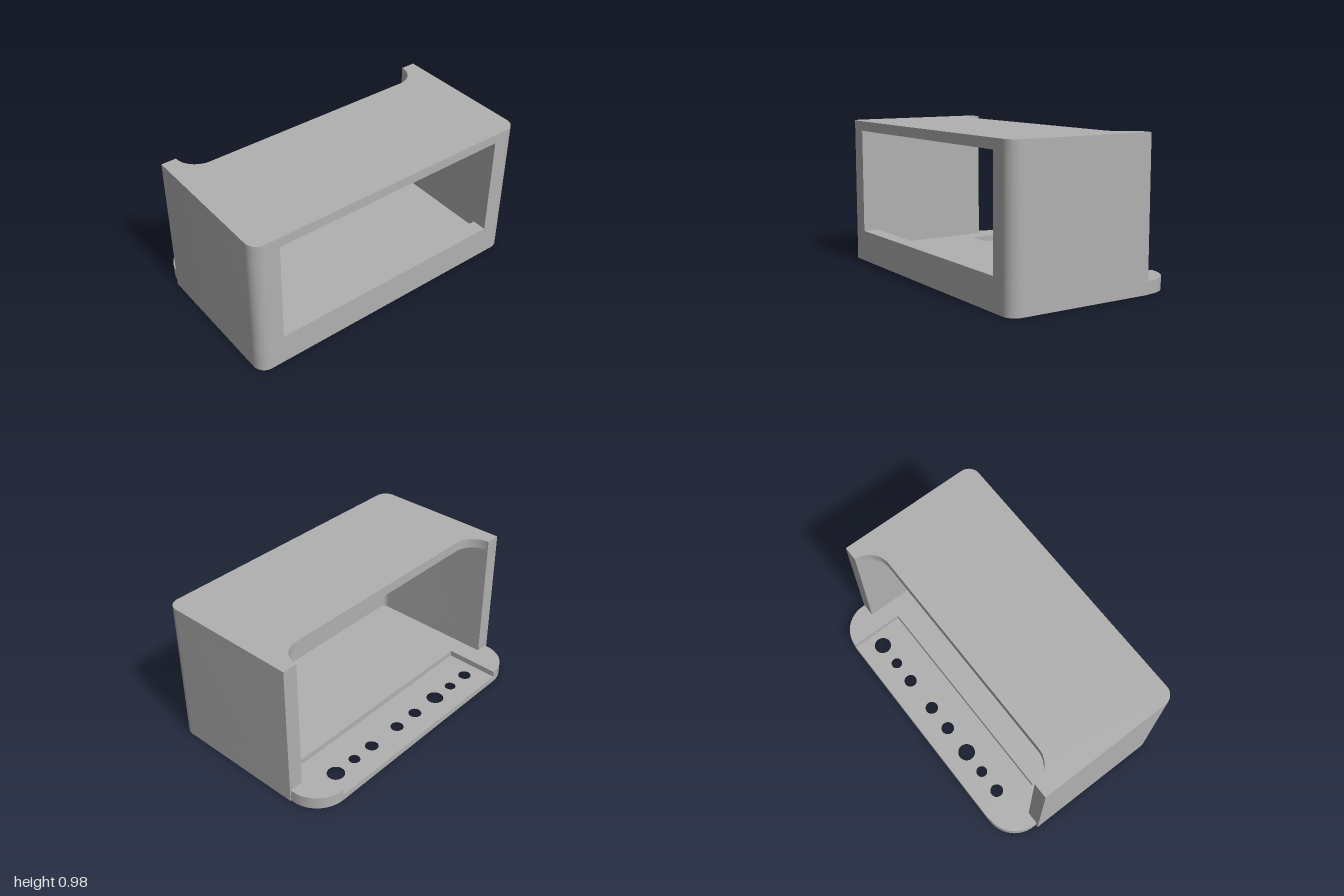
import * as THREE from 'three';
import { toCreasedNormals } from 'three/addons/utils/BufferGeometryUtils.js';

const grey = new THREE.MeshStandardMaterial({ color: 0xb0b0b0 });
grey.name = 'grey plastic';

// Plan outline from [x, z, cornerRadius] corners; rounded corners are right angles
function outline(corners) {
  const pts = [];
  const n = corners.length;
  corners.forEach(([x, z, r = 0], i) => {
    const p = new THREE.Vector2(x, -z);
    if (!r) return pts.push(p);
    const [ax, az] = corners[(i + n - 1) % n];
    const [bx, bz] = corners[(i + 1) % n];
    const inDir = p.clone().sub(new THREE.Vector2(ax, -az)).normalize();
    const outDir = new THREE.Vector2(bx, -bz).sub(p).normalize();
    const c = p.clone().addScaledVector(inDir, -r).addScaledVector(outDir, r);
    for (let k = 0; k <= 12; k++) {
      const t = (k / 12) * Math.PI / 2;
      pts.push(c.clone().addScaledVector(outDir, -r * Math.cos(t)).addScaledVector(inDir, r * Math.sin(t)));
    }
  });
  return new THREE.Shape(pts);
}

// Extrude a plan outline upward between two heights
function slab(name, shape, y0, y1) {
  let g = new THREE.ExtrudeGeometry(shape, { depth: y1 - y0, bevelEnabled: false, curveSegments: 32 });
  g.rotateX(-Math.PI / 2).translate(0, y0, 0);
  g = toCreasedNormals(g, 0.6);
  const mesh = new THREE.Mesh(g, grey);
  mesh.name = name;
  return mesh;
}

export function createModel() {
  const model = new THREE.Group();
  model.name = 'openEnclosure';

  const L = -0.38, R = 0.61, edge = -0.61;       // wall ends, window face, shelf edge
  const inner = 0.51, side = 0.9, jamb = 0.825;  // inside faces and window sides
  const round = 0.08, fillet = 0.04;
  const shelfBack = -0.993, shelfFront = 0.982;
  const yRecess = 0.042, yFloor = 0.083, ySill = 0.21, yRoof = 0.91, yTop = 0.975;

  // Lower floor with a row of connector holes
  const base = outline([
    [L, -1], [R, -1, round], [R, 1, round], [L, 1],
    [L, shelfFront], [edge, shelfFront, 0.212], [edge, shelfBack, 0.212], [L, shelfBack],
  ]);
  const holes = [
    [-0.675, 0.057], [-0.505, 0.037], [-0.34, 0.043], [-0.09, 0.043],
    [0.095, 0.043], [0.31, 0.057], [0.48, 0.037], [0.645, 0.043],
  ];
  for (const [z, r] of holes) {
    base.holes.push(new THREE.Path().absarc(-0.45, -z, r, 0, Math.PI * 2, true));
  }
  model.add(slab('floorBase', base, 0, yRecess));

  // Upper floor, cut away for the recess around the holes
  model.add(slab('floorTop', outline([
    [L, -1], [R, -1, round], [R, 1, round], [L, 1],
    [L, shelfFront], [edge, shelfFront, 0.212], [edge, 0.765], [-0.24, 0.765],
    [-0.24, -0.78], [edge, -0.78], [edge, shelfBack, 0.212], [L, shelfBack],
  ]), yRecess, yFloor));

  // Walls below the window
  model.add(slab('lowerWalls', outline([
    [L, -1], [R, -1, round], [R, 1, round], [L, 1],
    [L, side], [inner, side, fillet], [inner, -side, fillet], [L, -side],
  ]), yFloor, ySill));

  // Side walls turning the corner to the window jambs
  for (const s of [1, -1]) {
    model.add(slab(s > 0 ? 'frontWall' : 'backWall', outline([
      [L, s], [R, s, round], [R, s * jamb], [inner, s * jamb],
      [inner, s * side, fillet], [L, s * side],
    ]), ySill, yRoof));
  }

  // Roof with a rounded cutout above the shelf
  model.add(slab('roof', outline([
    [L, -1], [R, -1, round], [R, 1, round], [L, 1],
    [L, side], [-0.23, side, 0.149], [-0.23, -side, 0.149], [L, -side],
  ]), yRoof, yTop));

  return model;
}
